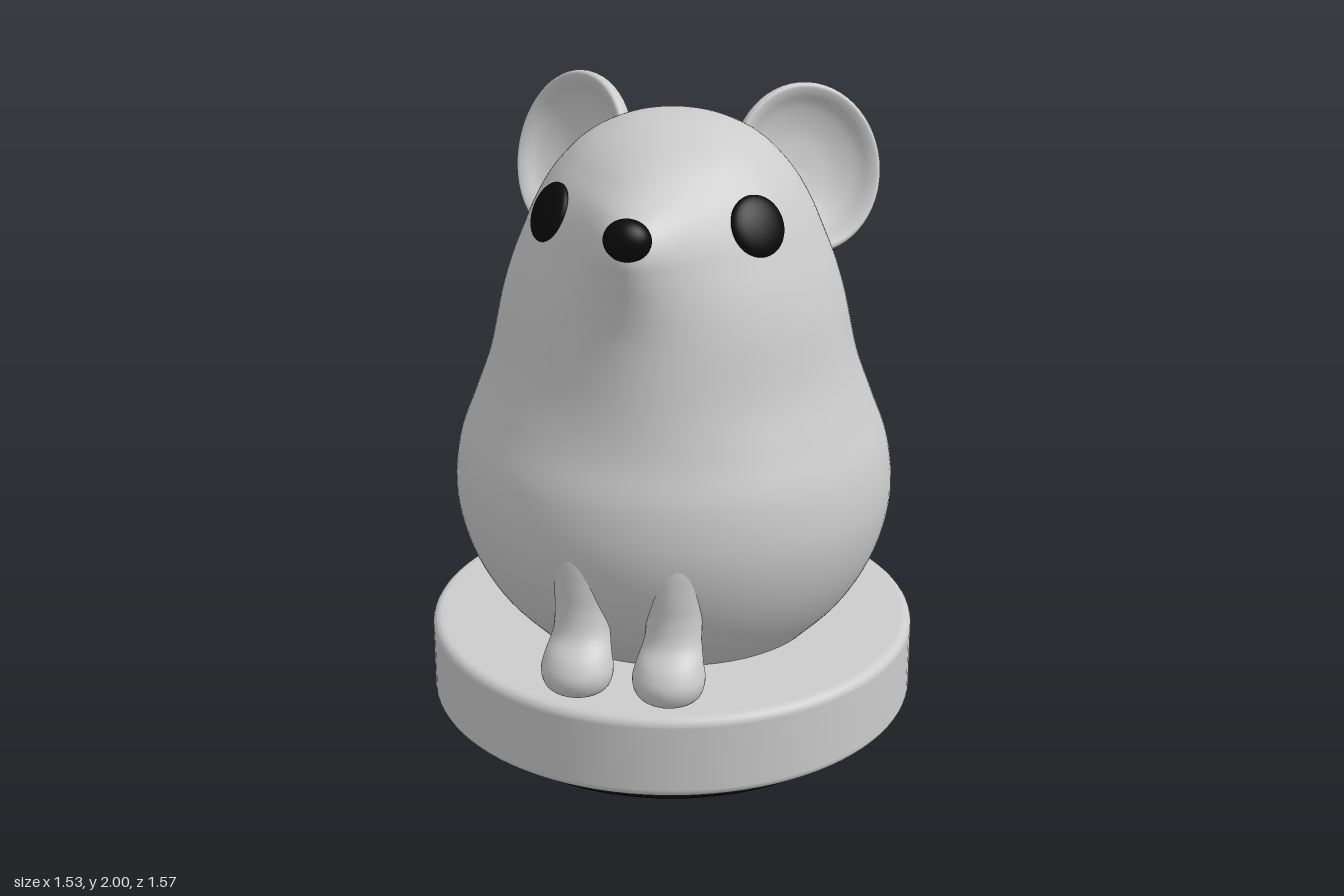
import * as THREE from 'three';

const V = (x, y, z) => new THREE.Vector3(x, y, z);
const grey = new THREE.MeshStandardMaterial({ color: 0xcccccc });
const black = new THREE.MeshStandardMaterial({ color: 0x0a0a0a });

function part(name, geometry, material = grey) {
  const mesh = new THREE.Mesh(geometry, material);
  mesh.name = name;
  return mesh;
}

// Smooth skin over closed rings of points
function loft(rings) {
  const n = rings[0].length, index = [];
  for (let i = 0; i < rings.length - 1; i++) {
    for (let j = 0; j < n; j++) {
      const a = i * n + j, b = i * n + (j + 1) % n;
      index.push(a, b, b + n, a, b + n, a + n);
    }
  }
  const geometry = new THREE.BufferGeometry().setFromPoints(rings.flat());
  geometry.setIndex(index);
  geometry.computeVertexNormals();
  return geometry;
}

// Rings along a smoothed list of [radius, y, extra] rows
function rowLoft(rows, steps, sides, point) {
  const curve = new THREE.CatmullRomCurve3(rows.map(r => V(...r)));
  return loft(curve.getPoints(steps).map(row =>
    Array.from({ length: sides }, (_, j) => {
      let a = (j / sides) * Math.PI * 2;
      if (a > Math.PI) a -= Math.PI * 2;
      return point(Math.max(row.x, 0.0005), row.y, row.z, a);
    })));
}

// Disc with rounded edges
function disc(r, y0, y1, bevel) {
  const profile = [new THREE.Vector2(0, y0), new THREE.Vector2(r - bevel - 0.01, y0)];
  for (const [cy, start] of [[y0 + bevel, -Math.PI / 2], [y1 - bevel, 0]]) {
    for (let i = 0; i <= 6; i++) {
      const a = start + (i / 6) * Math.PI / 2;
      profile.push(new THREE.Vector2(r - bevel + bevel * Math.cos(a), cy + bevel * Math.sin(a)));
    }
  }
  profile.push(new THREE.Vector2(r - bevel - 0.01, y1), new THREE.Vector2(0, y1));
  return new THREE.LatheGeometry(profile, 96);
}

// Ellipsoid whose local z axis points along a direction
function ellipsoid(name, pos, scale, dir, material) {
  const mesh = part(name, new THREE.SphereGeometry(1, 32, 24), material);
  mesh.position.copy(pos);
  mesh.scale.copy(scale);
  mesh.quaternion.setFromUnitVectors(V(0, 0, 1), dir.normalize());
  return mesh;
}

function body() {
  // half width, height, forward push of the snout
  const rows = [
    [0.42, 0.29, 0], [0.465, 0.335, 0], [0.57, 0.45, 0], [0.65, 0.6, 0], [0.685, 0.76, 0],
    [0.67, 0.92, 0], [0.62, 1.06, 0], [0.57, 1.2, 0.02], [0.525, 1.4, 0.045], [0.495, 1.5, 0.08],
    [0.455, 1.6, 0.135], [0.43, 1.66, 0.165], [0.405, 1.71, 0.17], [0.375, 1.76, 0.145],
    [0.335, 1.81, 0.08], [0.285, 1.86, 0.03], [0.225, 1.9, 0.005], [0.14, 1.935, 0],
    [0.06, 1.948, 0], [0, 1.95, 0]];
  return rowLoft(rows, 110, 112, (w, y, push, a) =>
    V(w * Math.sin(a), y, 0.96 * w * Math.cos(a) + push * Math.exp(-((a / 0.42) ** 2))));
}

function frontLeg(side) {
  // radius, height, centre z
  const rows = [
    [0, 0.335, 0.645], [0.06, 0.337, 0.645], [0.095, 0.36, 0.647], [0.109, 0.405, 0.645],
    [0.1, 0.455, 0.63], [0.086, 0.51, 0.59], [0.085, 0.58, 0.57], [0.092, 0.67, 0.56],
    [0.105, 0.76, 0.54], [0.11, 0.85, 0.5]];
  return rowLoft(rows, 48, 32, (r, y, z, a) =>
    V(side * 0.14 + r * Math.sin(a), y, z + 0.93 * r * Math.cos(a)));
}

function ear(side) {
  // thick cup: outer back, rolled rim, hollow inside
  const profile = new THREE.SplineCurve([
    [0, -0.12], [0.4, -0.11], [0.75, -0.075], [0.95, -0.025], [1, 0.01],
    [0.96, 0.03], [0.87, 0.02], [0.7, -0.015], [0.4, -0.045], [0, -0.055],
  ].map(p => new THREE.Vector2(...p))).getPoints(45);
  profile[0].x = profile[45].x = 0;
  const mesh = part(side > 0 ? 'leftEar' : 'rightEar', new THREE.LatheGeometry(profile, 56));
  const across = V(side * 0.85, 0, -0.53).normalize();
  const facing = V(side * 0.5, 0.28, 0.81);
  facing.addScaledVector(across, -facing.dot(across)).normalize();
  const along = across.clone().cross(facing);
  mesh.quaternion.setFromRotationMatrix(new THREE.Matrix4().makeBasis(across, facing, along));
  mesh.position.set(side * 0.365, 1.745, -0.205);
  mesh.scale.set(0.24, 1, 0.262);
  return mesh;
}

function tail() {
  const path = new THREE.CatmullRomCurve3([
    V(-0.1, 0.42, -0.5), V(-0.1, 0.48, -0.62), V(-0.06, 0.6, -0.69), V(0, 0.75, -0.712),
    V(0.09, 0.95, -0.67), V(0.125, 1.1, -0.615), V(0.08, 1.25, -0.56), V(-0.06, 1.375, -0.515)]);
  const steps = 70, sides = 24;
  const frames = path.computeFrenetFrames(steps);
  const rings = [];
  for (let i = 0; i <= steps; i++) {
    const t = i / steps, centre = path.getPointAt(t);
    // gentle taper with rounded ends
    const end = Math.sqrt(Math.max(0, 1 - Math.max(0, (t - 0.96) / 0.04) ** 2));
    const start = Math.sqrt(Math.max(0, 1 - Math.max(0, (0.05 - t) / 0.05) ** 2));
    const r = Math.max(0.0005, (0.072 - 0.05 * t ** 2.2) * end * start);
    rings.push(Array.from({ length: sides }, (_, j) => {
      const a = (j / sides) * Math.PI * 2;
      return centre.clone()
        .addScaledVector(frames.normals[i], r * Math.cos(a))
        .addScaledVector(frames.binormals[i], r * Math.sin(a));
    }));
  }
  return loft(rings);
}

export function createModel() {
  const model = new THREE.Group();
  model.name = 'mouseFigurine';

  // Round stand with a dark pad beneath
  const stand = part('stand', disc(0.767, 0.07, 0.335, 0.03));
  const pad = part('basePad', disc(0.66, 0, 0.09, 0.02), black);
  stand.position.z = pad.position.z = 0.02;

  model.add(stand, pad, part('body', body()), part('tail', tail()));
  model.add(ellipsoid('nose', V(0, 1.717, 0.555), V(0.07, 0.062, 0.055), V(0, 0, 1), black));

  for (const side of [1, -1]) {
    const name = side > 0 ? 'left' : 'right';
    model.add(ear(side), part(name + 'FrontLeg', frontLeg(side)));
    model.add(ellipsoid(name + 'Eye', V(side * 0.312, 1.695, 0.262), V(0.092, 0.092, 0.03),
      V(side * 0.32, 0.2, 0.27), black));
  }
  return model;
}
